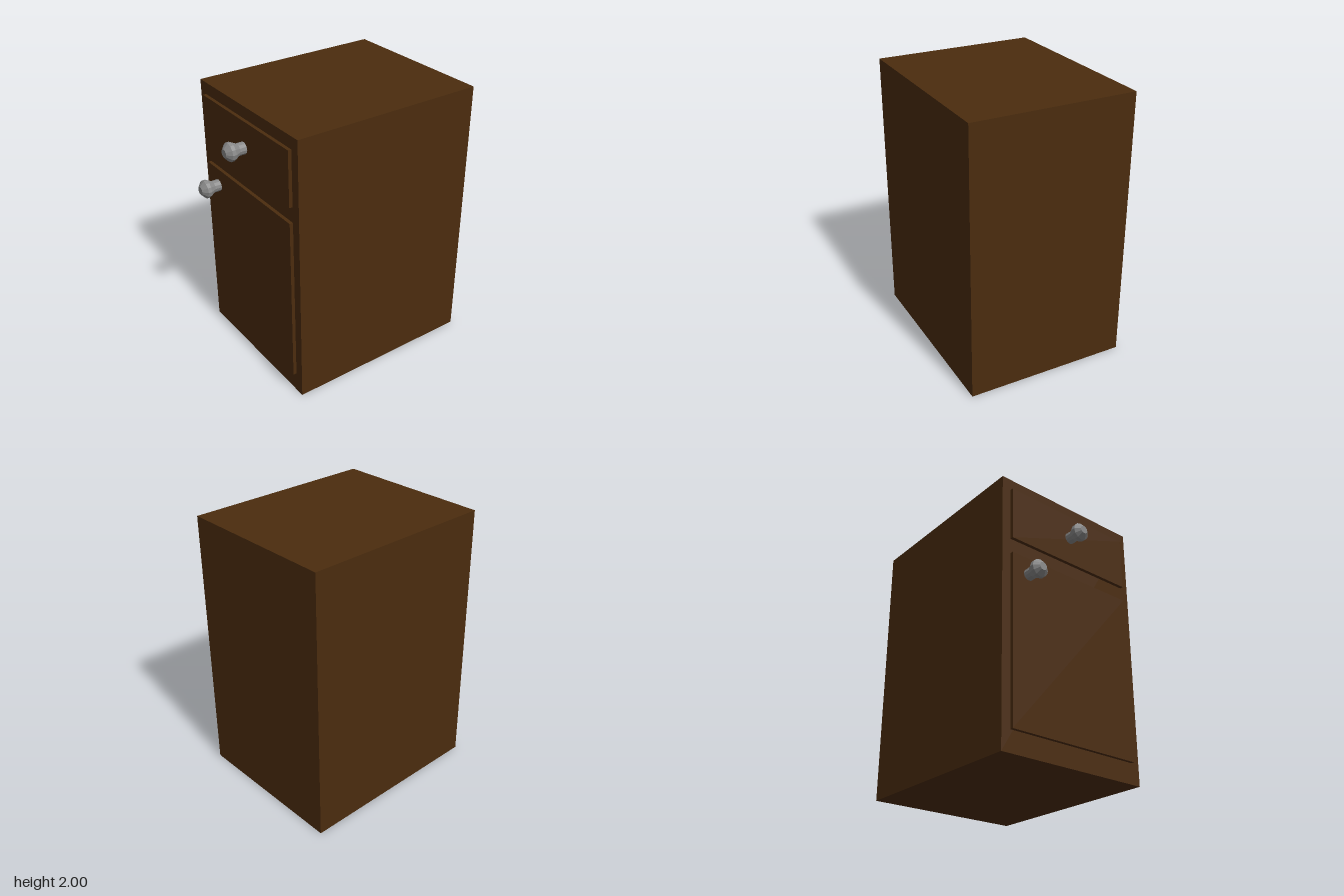
import * as THREE from 'three';

export function createModel() {
  const wood = new THREE.MeshStandardMaterial({ color: 0x4b2c0e });
  wood.name = 'dark wood';
  const metal = new THREE.MeshStandardMaterial({ color: 0x8a8a8a, flatShading: true });
  metal.name = 'grey metal';

  const cabinet = new THREE.Group();
  cabinet.name = 'cabinet';

  // Box given by its limits on each axis
  const addBox = (name, x0, x1, y0, y1, z0, z1) => {
    const mesh = new THREE.Mesh(new THREE.BoxGeometry(x1 - x0, y1 - y0, z1 - z0), wood);
    mesh.position.set((x0 + x1) / 2, (y0 + y1) / 2, (z0 + z1) / 2);
    mesh.name = name;
    cabinet.add(mesh);
  };

  const front = 0.628, panelFront = 0.653;
  addBox('body', -0.597, 0.597, 0, 2, -0.803, front);
  addBox('drawerFront', -0.528, 0.528, 1.513, 1.913, front, panelFront);
  addBox('door', -0.528, 0.528, 0.152, 1.398, front, panelFront);

  // Faceted knob: neck, flare, rim and bevelled tip
  const profile = [[0.043, 0], [0.043, 0.05], [0.066, 0.092], [0.066, 0.118], [0.03, 0.15], [0, 0.15]]
    .map(([r, h]) => new THREE.Vector2(r, h));
  const knobGeometry = new THREE.LatheGeometry(profile, 12).rotateX(Math.PI / 2);

  for (const [name, x, y] of [['drawerKnob', 0, 1.72], ['doorKnob', -0.39, 1.27]]) {
    const knob = new THREE.Mesh(knobGeometry, metal);
    knob.position.set(x, y, panelFront);
    knob.name = name;
    cabinet.add(knob);
  }
  return cabinet;
}
